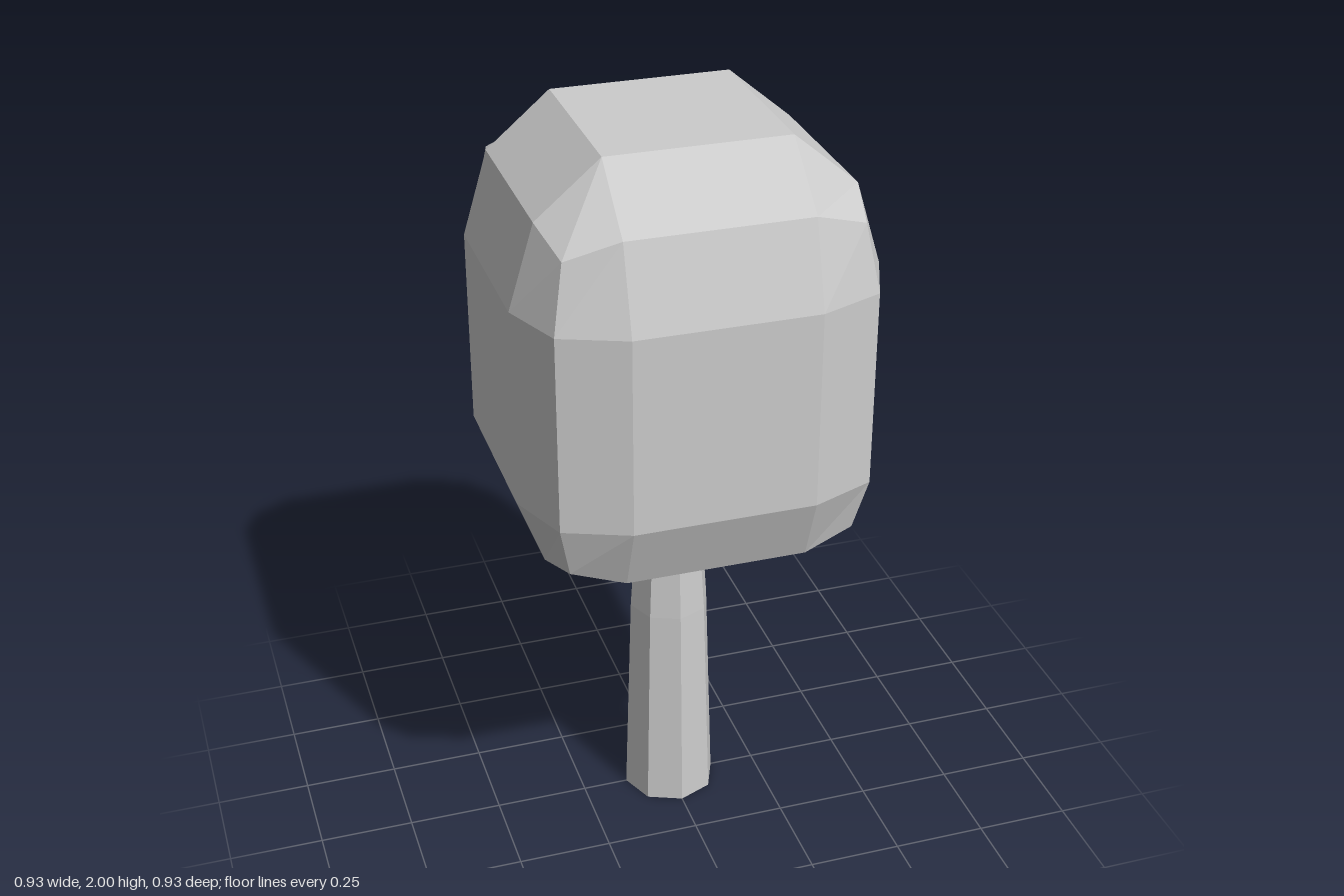
import * as THREE from 'three';

const material = new THREE.MeshStandardMaterial({ color: 0xcccccc, flatShading: true });

// Rounded block: a 3x3x3 grid box whose vertices are pulled in at edges and corners
function crownGeometry() {
  const geometry = new THREE.BoxGeometry(3, 3, 3, 3, 3, 3);
  const pos = geometry.attributes.position;
  // Offsets for an outer coordinate lying on a face, an edge or a corner
  const side = [0.466, 0.4, 0.37];
  const top = [2.0, 1.86, 1.815];
  const bottom = [0.875, 0.945, 0.98];
  for (let i = 0; i < pos.count; i++) {
    const p = [pos.getX(i), pos.getY(i), pos.getZ(i)];
    const level = p.filter((c) => Math.abs(c) > 1).length - 1;
    const horizontal = (c) => Math.sign(c) * (Math.abs(c) > 1 ? side[level] : 0.234);
    let y = p[1] > 0 ? 1.642 : 1.122;
    if (p[1] > 1) y = top[level];
    if (p[1] < -1) y = bottom[level];
    pos.setXYZ(i, horizontal(p[0]), y, horizontal(p[2]));
  }
  geometry.computeVertexNormals();
  return geometry;
}

export function createModel() {
  const tree = new THREE.Group();
  tree.name = 'tree';

  // Blocky foliage
  const crown = new THREE.Mesh(crownGeometry(), material);
  crown.name = 'crown';
  tree.add(crown);

  // Eight-sided tapering trunk, closed underneath and running into the crown
  const profile = [[0, 0], [0.127, 0], [0.108, 0.6], [0.09, 0.87], [0.08, 1.0], [0, 1.0]];
  const trunk = new THREE.Mesh(
    new THREE.LatheGeometry(profile.map(([r, y]) => new THREE.Vector2(r, y)), 8),
    material
  );
  trunk.name = 'trunk';
  tree.add(trunk);

  return tree;
}
